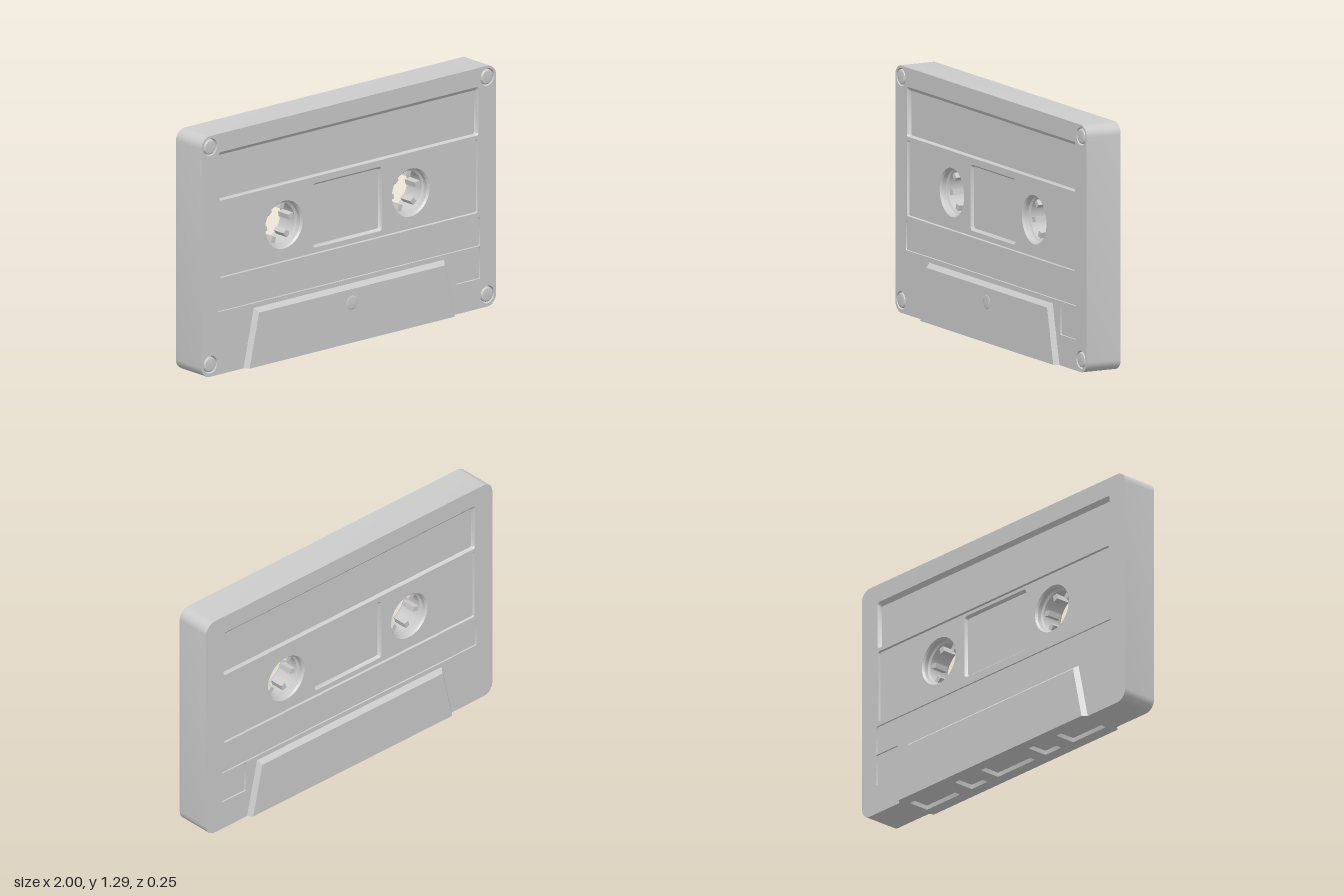
import * as THREE from 'three';
import { toCreasedNormals } from 'three/addons/utils/BufferGeometryUtils.js';

const material = new THREE.MeshStandardMaterial({ color: 0xcccccc });
const FACE = 0.1, BULGE = 0.125, HEIGHT = 1.29;
const V = (x, y) => new THREE.Vector2(x, y);

// Counter-clockwise rounded rectangle, starting at the bottom right corner
function roundRect(cx, cy, w, h, r, n = 5) {
  const pts = [];
  [[1, -1], [1, 1], [-1, 1], [-1, -1]].forEach(([sx, sy], k) => {
    for (let i = 0; i <= n; i++) {
      const a = (k - 1 + i / n) * Math.PI / 2;
      pts.push(V(cx + sx * (w / 2 - r) + r * Math.cos(a), cy + sy * (h / 2 - r) + r * Math.sin(a)));
    }
  });
  return pts;
}

function circle(cx, cy, r, n = 40) {
  return Array.from({ length: n }, (_, i) => {
    const a = i / n * Math.PI * 2;
    return V(cx + r * Math.cos(a), cy + r * Math.sin(a));
  });
}

function add(parent, name, geometry) {
  const mesh = new THREE.Mesh(geometry, material);
  mesh.name = name;
  parent.add(mesh);
  return mesh;
}

// Flat sheet with holes at depth z
function plate(parent, name, outer, holes, z) {
  const shape = new THREE.Shape(outer);
  shape.holes = holes.map(h => new THREE.Path(h));
  return add(parent, name, new THREE.ShapeGeometry(shape).translate(0, 0, z));
}

// Wall between two loops: faces outward when rising in z, inward when falling
function wall(parent, name, a, za, b, zb, closed = true) {
  const pos = [], n = a.length;
  for (let i = 0; i < (closed ? n : n - 1); i++) {
    const j = (i + 1) % n;
    const p = [a[i].x, a[i].y, za], q = [a[j].x, a[j].y, za];
    const r = [b[j].x, b[j].y, zb], s = [b[i].x, b[i].y, zb];
    pos.push(...p, ...q, ...r, ...p, ...r, ...s);
  }
  const g = new THREE.BufferGeometry();
  g.setAttribute('position', new THREE.Float32BufferAttribute(pos, 3));
  return add(parent, name, toCreasedNormals(g, 0.6));
}

// Sunken panel: sloped rim plus floor
function recess(parent, name, outer, inner, z, depth, holes = []) {
  wall(parent, name + 'Rim', outer, z, inner, z - depth);
  plate(parent, name + 'Floor', inner, holes, z - depth);
}

// Screw head with a cross slot, sitting in a round pocket
function screw(parent, x, y, z) {
  recess(parent, 'screwPocket', circle(x, y, 0.047), circle(x, y, 0.043), z, 0.02);
  const shape = new THREE.Shape(circle(0, 0, 0.04, 32));
  const w = 0.006, l = 0.022;
  shape.holes.push(new THREE.Path([V(w, -l), V(w, -w), V(l, -w), V(l, w), V(w, w), V(w, l),
    V(-w, l), V(-w, w), V(-l, w), V(-l, -w), V(-w, -w), V(-w, -l)]));
  const g = new THREE.ExtrudeGeometry(shape, {
    depth: 0.008, bevelThickness: 0.008, bevelSize: 0.008, bevelOffset: -0.008, bevelSegments: 3, curveSegments: 8,
  });
  add(parent, 'screwHead', toCreasedNormals(g, 0.6)).position.set(x, y, z - 0.014);
}

const outline = roundRect(0, HEIGHT / 2, 2, HEIGHT, 0.06, 8);
const hubs = [-0.43, 0.43];
const HUB_Y = 0.71;
const guideHoles = [-1, 1].flatMap(s => [circle(s * 0.48, 0.075, 0.05), roundRect(s * 0.285, 0.105, 0.086, 0.082, 0.032)]);

// One large face; squareSide is the side of the small square recess
function buildFace(name, squareSide, screws) {
  const face = new THREE.Group();
  face.name = name;
  const label = roundRect(0, 1.06, 1.76, 0.26, 0.012);
  const middle = roundRect(0, 0.7125, 1.75, 0.395, 0.01);
  const band = roundRect(0, 0.413, 1.78, 0.155, 0.01);
  const square = roundRect(squareSide * 0.808, 0.245, 0.165, 0.17, 0.005);
  const corners = screws ? [[-0.94, 0.065], [0.94, 0.065], [-0.94, 1.23], [0.94, 1.23]] : [];

  plate(face, 'facePlate', outline,
    [label, middle, band, square, ...guideHoles, ...corners.map(([x, y]) => circle(x, y, 0.047))], FACE);
  recess(face, 'labelPanel', label, roundRect(0, 1.053, 1.736, 0.232, 0.008), FACE, 0.02);
  recess(face, 'lowerBand', band, roundRect(0, 0.413, 1.776, 0.151, 0.008), FACE, 0.006);
  recess(face, 'squareNotch', square, roundRect(squareSide * 0.808, 0.245, 0.161, 0.166, 0.004), FACE, 0.006);

  // Middle panel with hub openings and window
  const floor = FACE - 0.012;
  const window = roundRect(0, 0.7175, 0.47, 0.345, 0.02);
  recess(face, 'middlePanel', middle, roundRect(0, 0.7125, 1.744, 0.389, 0.008), FACE, 0.012,
    [window, ...hubs.map(x => circle(x, HUB_Y, 0.128))]);
  recess(face, 'window', window, roundRect(0, 0.7175, 0.446, 0.321, 0.012), floor, 0.015);

  // Raised trapezoid along the lower edge
  const base = [V(0.715, 0), V(0.645, 0.31), V(-0.645, 0.31), V(-0.715, 0)];
  const top = [V(0.695, 0), V(0.63, 0.288), V(-0.63, 0.288), V(-0.695, 0)];
  wall(face, 'trapezoidBevel', base, FACE, top, BULGE, false);
  plate(face, 'trapezoidFace', top, [...guideHoles, ...(screws ? [circle(0, 0.215, 0.047)] : [])], BULGE);

  corners.forEach(([x, y]) => screw(face, x, y, FACE));
  if (screws) screw(face, 0, 0.215, BULGE);
  return face;
}

// Stepped hub opening with six drive teeth
function buildHub(x) {
  const hub = new THREE.Group();
  hub.name = 'hub';
  const profile = [[0.128, 0.088], [0.119, 0.078], [0.119, 0.055], [0.108, 0.048],
    [0.108, -0.048], [0.119, -0.055], [0.119, -0.078], [0.128, -0.088]];
  for (let i = 0; i < profile.length - 1; i++) {
    const [r0, z0] = profile[i], [r1, z1] = profile[i + 1];
    wall(hub, 'hubRing', circle(0, 0, r0, 48), z0, circle(0, 0, r1, 48), z1);
  }
  for (let i = 0; i < 6; i++) {
    const a = i * Math.PI / 3 + 0.2;
    const tooth = add(hub, 'hubTooth', new THREE.BoxGeometry(0.036, 0.028, 0.08));
    tooth.position.set(0.093 * Math.cos(a), 0.093 * Math.sin(a), 0);
    tooth.rotation.z = a;
  }
  hub.position.set(x, HUB_Y, 0);
  return hub;
}

// Underside with five slots, drawn in x and z then turned to face down
function buildUnderside() {
  const under = new THREE.Group();
  under.name = 'underside';
  const edge = [V(-0.94, -FACE), V(-0.715, -FACE), V(-0.695, -BULGE), V(0.695, -BULGE), V(0.715, -FACE), V(0.94, -FACE)];
  const outer = [...edge, ...edge.map(p => V(-p.x, -p.y))];
  const slots = [[-0.555, 0.25], [-0.28, 0.12], [0, 0.28], [0.28, 0.12], [0.555, 0.25]];
  plate(under, 'undersidePlate', outer, slots.map(([x, w]) => roundRect(x, 0, w, 0.12, 0.008)), 0);
  slots.forEach(([x, w]) =>
    recess(under, 'slot', roundRect(x, 0, w, 0.12, 0.008), roundRect(x, 0, w - 0.006, 0.114, 0.006), 0, 0.022));
  under.rotation.x = Math.PI / 2;
  return under;
}

export function createModel() {
  const model = new THREE.Group();
  model.name = 'cassette';
  wall(model, 'sideWall', outline, -FACE, outline, FACE, false);
  const back = buildFace('backFace', -1, false);
  back.rotation.y = Math.PI;
  model.add(buildFace('frontFace', 1, true), back, buildUnderside());
  hubs.forEach(x => model.add(buildHub(x)));
  guideHoles.forEach(h => wall(model, 'guideHole', h, BULGE, h, -BULGE));
  return model;
}
